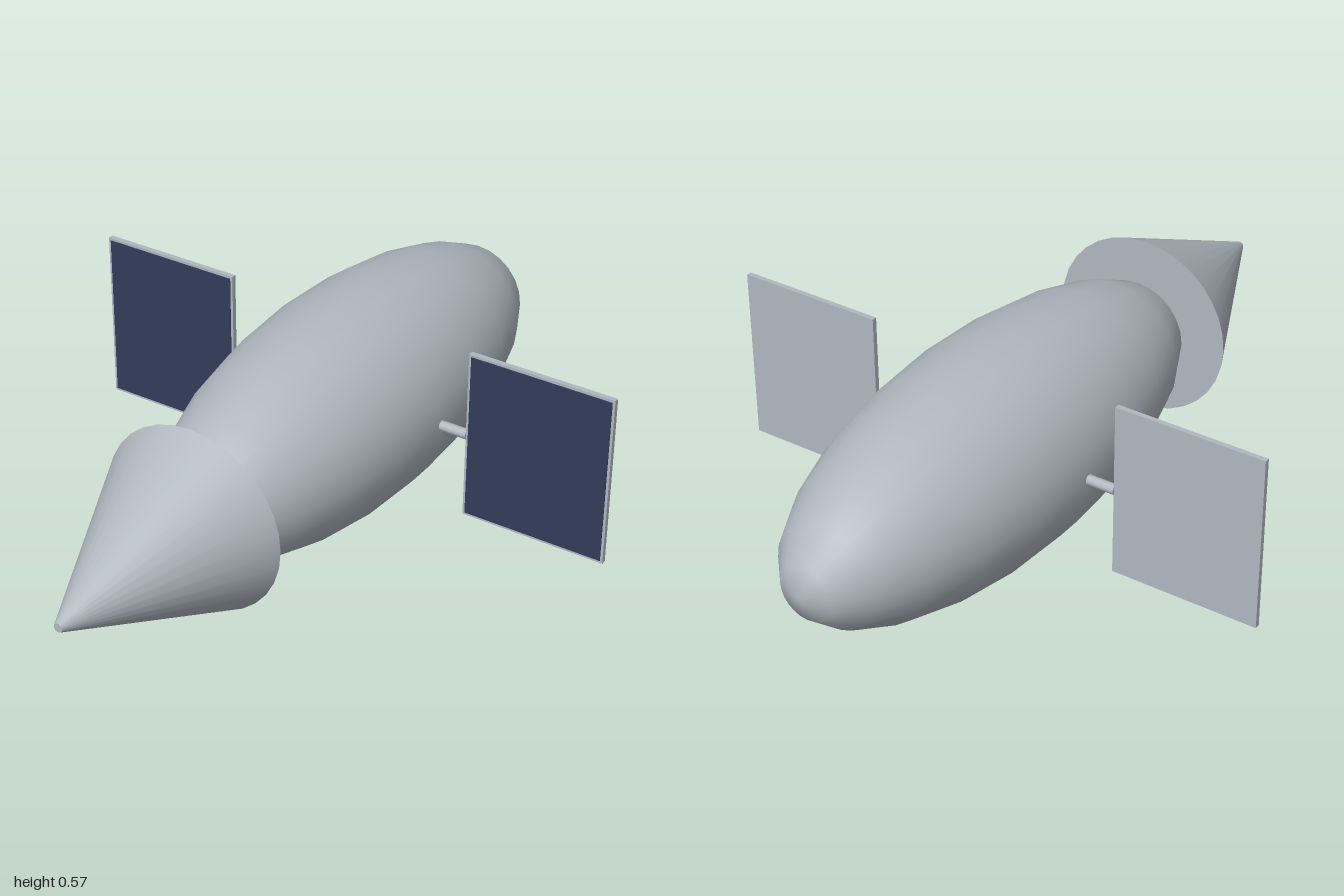
import * as THREE from 'three';

const AXIS_Y = 0.287; // height of the long axis
const MID_Z = -0.226; // station of the hull centre and the panels

export function createModel() {
  const model = new THREE.Group();
  model.name = 'spacecraft';
  const hullGrey = new THREE.MeshStandardMaterial({ color: 0xb0b8c0 });
  hullGrey.name = 'hull grey';
  const cellBlue = new THREE.MeshStandardMaterial({ color: 0x323b5a });
  cellBlue.name = 'solar cell blue';

  const add = (name, geometry, material, x, y, z, parent = model) => {
    const mesh = new THREE.Mesh(geometry, material);
    mesh.name = name;
    mesh.position.set(x, y, z);
    parent.add(mesh);
    return mesh;
  };

  // Long ellipsoid hull, poles on the z axis
  const hull = new THREE.SphereGeometry(1, 24, 12).rotateX(Math.PI / 2).scale(0.287, 0.287, 0.774);
  add('hull', hull, hullGrey, 0, AXIS_Y, MID_Z);

  // Nose cone with a blunt tip and a closed base
  const nose = new THREE.CylinderGeometry(0.012, 0.256, 0.527, 32).rotateX(Math.PI / 2);
  add('noseCone', nose, hullGrey, 0, AXIS_Y, 0.7365);

  // A strut and a solar panel on each side
  for (const side of [1, -1]) {
    const wing = new THREE.Group();
    wing.name = side > 0 ? 'leftSolarWing' : 'rightSolarWing';
    wing.position.set(0, AXIS_Y, MID_Z);
    model.add(wing);
    const strut = new THREE.CylinderGeometry(0.014, 0.014, 0.1, 12).rotateZ(Math.PI / 2);
    add('strut', strut, hullGrey, side * 0.313, 0, 0, wing);
    add('panelFrame', new THREE.BoxGeometry(0.41, 0.484, 0.014), hullGrey, side * 0.567, 0, 0, wing);
    add('solarCells', new THREE.BoxGeometry(0.396, 0.47, 0.004), cellBlue, side * 0.567, 0, 0.007, wing);
  }
  return model;
}
